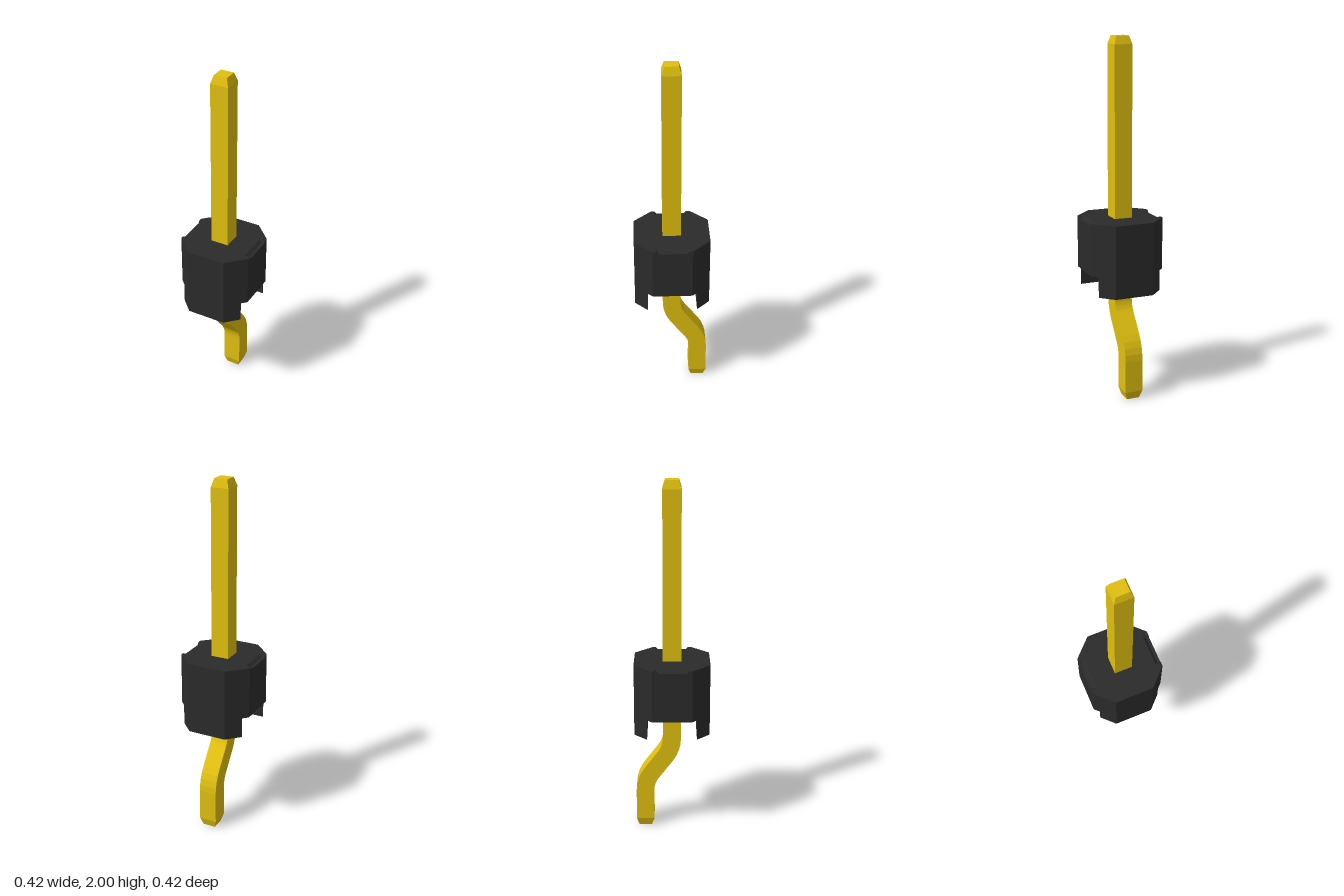
import * as THREE from 'three';

const v3 = (x, y, z) => new THREE.Vector3(x, y, z);
// Places a 2D outline (x, -z), counter-clockwise from above, at height y
const at = (outline, y) => outline.map(([x, u]) => v3(x, y, -u));

// Side faces between a lower and an upper ring
function wall(tris, lower, upper) {
  lower.forEach((p, i) => {
    const j = (i + 1) % lower.length;
    tris.push(p, lower[j], upper[j], p, upper[j], upper[i]);
  });
}

// Flat face filling a ring, facing up or down
function cap(tris, ring, up) {
  const flat = ring.map((p) => new THREE.Vector2(p.x, -p.z));
  for (const [a, b, c] of THREE.ShapeUtils.triangulateShape(flat, [])) {
    if (up) tris.push(ring[a], ring[b], ring[c]);
    else tris.push(ring[a], ring[c], ring[b]);
  }
}

function makeMesh(name, tris, color) {
  const geometry = new THREE.BufferGeometry().setFromPoints(tris);
  geometry.computeVertexNormals();
  const mesh = new THREE.Mesh(geometry, new THREE.MeshStandardMaterial({ color, flatShading: true }));
  mesh.name = name;
  return mesh;
}

// Octagonal block with two feet and a shallow bevelled notch on each side
function createHousing() {
  const R = 0.21, C = 0.11, CH = 0.1375, E = R + C - CH;
  const yFoot = 0.6, yCore = 0.715, yNotch = 0.995, yTop = 1.01;
  const tris = [];
  const octagon = [[R, -C], [R, C], [C, R], [-C, R], [-R, C], [-R, -C], [-C, -R], [C, -R]];
  const notched = (inner, half) => [
    [R, -C], [R, -half], [inner, -half], [inner, half], [R, half], [R, C], [C, R], [-C, R],
    [-R, C], [-R, half], [-inner, half], [-inner, -half], [-R, -half], [-R, -C], [-C, -R], [C, -R],
  ];

  // feet, in front of and behind the channel
  const foot = [[-C, -R], [C, -R], [E, -CH], [-E, -CH]];
  for (const s of [1, -1]) {
    const outline = foot.map(([x, u]) => [x * s, u * s]);
    cap(tris, at(outline, yFoot), false);
    wall(tris, at(outline, yFoot), at(outline, yCore));
  }

  // channel ceiling and main walls
  cap(tris, at([[E, -CH], [R, -C], [R, C], [E, CH], [-E, CH], [-R, C], [-R, -C], [-E, -CH]], yCore), false);
  wall(tris, at(octagon, yCore), at(octagon, yNotch));

  // notch floors, bevels and top face
  const low = notched(0.193, 0.078), high = notched(0.177, 0.092);
  for (const s of [1, -1]) {
    const floor = [[0.193, -0.078], [R, -0.078], [R, 0.078], [0.193, 0.078]];
    cap(tris, at(floor.map(([x, u]) => [x * s, u * s]), yNotch), true);
  }
  wall(tris, at(low, yNotch), at(high, yTop));
  cap(tris, at(high, yTop), true);
  return makeMesh('housing', tris, 0x2b2b2b);
}

// Square pin with a double bend and tapered ends
function createPin() {
  const HALF = 0.051, TIP = 0.037, OFFSET = -0.153, RADIUS = 0.18, STEPS = 4;
  const bend = THREE.MathUtils.degToRad(37);
  const ring = (y, z, a = 0, h = HALF) =>
    [[1, 1], [1, -1], [-1, -1], [-1, 1]].map(([sx, sn]) =>
      v3(sx * h, y - sn * h * Math.sin(a), z + sn * h * Math.cos(a)));

  const rings = [ring(0, OFFSET, 0, TIP), ring(0.045, OFFSET)];
  for (let i = 0; i <= STEPS; i++) {
    const a = (bend * i) / STEPS;
    rings.push(ring(0.226 + RADIUS * Math.sin(a), OFFSET + RADIUS * (1 - Math.cos(a)), a));
  }
  for (let i = STEPS; i >= 0; i--) {
    const a = (bend * i) / STEPS;
    rings.push(ring(0.55 - RADIUS * Math.sin(a), -RADIUS * (1 - Math.cos(a)), a));
  }
  rings.push(ring(1.955, 0), ring(2, 0, 0, TIP));

  const tris = [];
  cap(tris, rings[0], false);
  for (let i = 1; i < rings.length; i++) wall(tris, rings[i - 1], rings[i]);
  cap(tris, rings[rings.length - 1], true);
  return makeMesh('pin', tris, 0xe0bf10);
}

export function createModel() {
  const group = new THREE.Group();
  group.name = 'pinHeader';
  group.add(createHousing(), createPin());
  return group;
}
